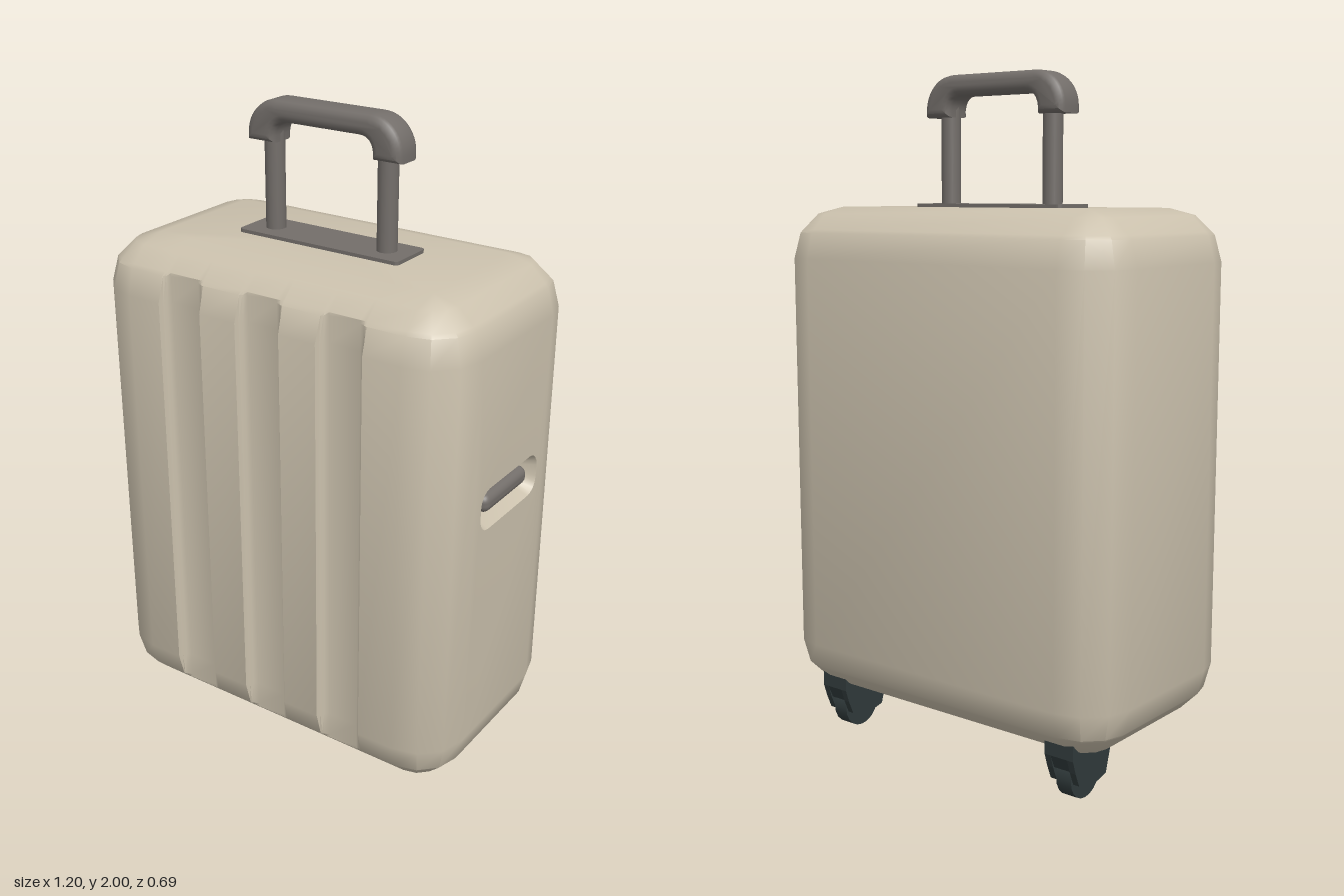
import * as THREE from 'three';
import { mergeGeometries, toCreasedNormals } from 'three/addons/utils/BufferGeometryUtils.js';
import { RoundedBoxGeometry } from 'three/addons/geometries/RoundedBoxGeometry.js';

const material = (name, color) => Object.assign(new THREE.MeshStandardMaterial({ color }), { name });

function addMesh(parent, name, geometry, mat, x = 0, y = 0, z = 0) {
  const mesh = new THREE.Mesh(geometry, mat);
  mesh.name = name;
  mesh.position.set(x, y, z);
  parent.add(mesh);
  return mesh;
}

// Triangle soup holding positions only, so that pieces can be merged
function soup(corners) {
  const g = new THREE.BufferGeometry();
  g.setAttribute('position', new THREE.Float32BufferAttribute(corners.flat(), 3));
  return g;
}
function positionsOnly(geometry) {
  const g = geometry.index ? geometry.toNonIndexed() : geometry;
  g.deleteAttribute('normal');
  g.deleteAttribute('uv');
  return g;
}

// Counter-clockwise rounded rectangle
function roundedOutline(hw, hh, r, cy, steps = 4) {
  const points = [];
  [[1, 1], [-1, 1], [-1, -1], [1, -1]].forEach(([sx, sy], k) => {
    for (let i = 0; i <= steps; i++) {
      const a = (k + i / steps) * Math.PI / 2;
      points.push(new THREE.Vector2(sx * (hw - r) + r * Math.cos(a), cy + sy * (hh - r) + r * Math.sin(a)));
    }
  });
  return points;
}

// Case dimensions: flat half extents plus an edge radius
const FX = 0.45, FZ = 0.195, R = 0.15, LOW = 0.29, HIGH = 1.47, FACE = 0.6;

function shellGeometry() {
  // Columns of the front: each groove is a set of [x, deepest z]
  const front = [];
  for (const cx of [-0.267, 0, 0.264]) {
    const half = [[-0.073, 1], [-0.069, 0.331], [-0.062, 0.321], [-0.048, 0.315]];
    half.forEach(([x, z]) => front.push([cx + x, z]));
    [...half].reverse().forEach(([x, z]) => front.push([cx - x, z]));
  }
  // One horizontal section; c is the share of the edge radius in use
  const section = (c, y) => {
    const ring = front.map(([x, z]) => [x, y, Math.min(FZ + R * c, z)]);
    [[1, 1, 90], [1, -1, 0], [-1, -1, -90], [-1, 1, 180]].forEach(([sx, sz, start]) => {
      for (let i = 0; i < 4; i++) {
        const a = (start - i * 30) * Math.PI / 180;
        ring.push([sx * FX + R * c * Math.cos(a), y, sz * FZ + R * c * Math.sin(a)]);
      }
    });
    return ring;
  };
  // Edge profile [inset, rise]; the third point is where the grooves run out
  const edge = [[1, 0], [0.866, 0.5], [0.8, 0.566], [0.5, 0.866], [0, 1]];
  const rings = [
    ...[...edge].reverse().map(([c, s]) => section(c, LOW - R * s)),
    ...edge.map(([c, s]) => section(c, HIGH + R * s)),
  ];
  const corners = [];
  const n = rings[0].length;
  for (let j = 0; j < rings.length - 1; j++) {
    for (let i = 0; i < n; i++) {
      if (j === 4 && i === front.length + 3) continue; // left open for the side panel
      const k = (i + 1) % n;
      const [a, b, c, d] = [rings[j][i], rings[j][k], rings[j + 1][k], rings[j + 1][i]];
      corners.push(a, b, c, a, c, d);
    }
  }
  // Bottom and top
  const last = rings[rings.length - 1];
  for (let i = 0; i < n; i++) {
    const k = (i + 1) % n;
    corners.push([0, LOW - R, 0], rings[0][k], rings[0][i]);
    corners.push([0, HIGH + R, 0], last[i], last[k]);
  }
  return soup(corners);
}

// Side panel with a sunken, sloping recess
function sidePanelGeometry() {
  const depth = 0.055;
  const outer = roundedOutline(0.16, 0.0625, 0.045, 1.013);
  const inner = roundedOutline(0.135, 0.042, 0.03, 1.017);
  const panel = new THREE.Shape([[-FZ, LOW], [FZ, LOW], [FZ, HIGH], [-FZ, HIGH]].map(p => new THREE.Vector2(...p)));
  panel.holes.push(new THREE.Path(outer));
  const walls = [];
  outer.forEach((p, i) => {
    const k = (i + 1) % outer.length;
    const a = [p.x, p.y, 0], b = [outer[k].x, outer[k].y, 0];
    const c = [inner[k].x, inner[k].y, -depth], d = [inner[i].x, inner[i].y, -depth];
    walls.push(a, b, c, a, c, d);
  });
  const floor = new THREE.ShapeGeometry(new THREE.Shape(inner)).translate(0, 0, -depth);
  return mergeGeometries([positionsOnly(new THREE.ShapeGeometry(panel)), soup(walls), positionsOnly(floor)])
    .rotateY(Math.PI / 2).translate(FACE, 0, 0);
}

// Arched grip with softly rounded edges
function gripGeometry() {
  const s = new THREE.Shape();
  s.moveTo(-0.25, 1.88);
  s.lineTo(-0.16, 1.88);
  s.lineTo(-0.16, 1.9);
  s.quadraticCurveTo(-0.155, 1.94, -0.12, 1.94);
  s.lineTo(0.12, 1.94);
  s.quadraticCurveTo(0.155, 1.94, 0.16, 1.9);
  s.lineTo(0.16, 1.88);
  s.lineTo(0.25, 1.88);
  s.lineTo(0.25, 1.9);
  s.absarc(0.15, 1.9, 0.1, 0, Math.PI / 2, false);
  s.lineTo(-0.15, 2);
  s.absarc(-0.15, 1.9, 0.1, Math.PI / 2, Math.PI, false);
  const b = 0.022;
  const g = new THREE.ExtrudeGeometry(s, {
    depth: 0.1 - 2 * b, bevelEnabled: true, bevelSize: b, bevelThickness: b,
    bevelOffset: -b, bevelSegments: 3, curveSegments: 6,
  }).translate(0, 0, -0.05 + b);
  return toCreasedNormals(g, 0.8);
}

// Extrudes a [z, y] side profile across x, centred on x = 0
function sideExtrude(points, width) {
  const shape = new THREE.Shape(points.map(([z, y]) => new THREE.Vector2(-z, y)));
  return new THREE.ExtrudeGeometry(shape, { depth: width, bevelEnabled: false })
    .translate(0, 0, -width / 2).rotateY(Math.PI / 2);
}

export function createModel() {
  const beige = material('beige shell', 0xcbc1ad);
  const grey = material('grey plastic', 0x736e6a);
  const dark = material('dark wheels', 0x303a3b);
  const model = new THREE.Group();
  model.name = 'suitcase';

  addMesh(model, 'shell', toCreasedNormals(mergeGeometries([shellGeometry(), sidePanelGeometry()]), 0.65), beige);
  addMesh(model, 'sideHandle', new RoundedBoxGeometry(0.05, 0.056, 0.24, 3, 0.024), grey, 0.57, 1.017, 0);

  // Telescopic handle
  const handle = new THREE.Group();
  handle.name = 'pullHandle';
  model.add(handle);
  const plate = new THREE.ExtrudeGeometry(new THREE.Shape(roundedOutline(0.265, 0.072, 0.012, 0)), { depth: 0.02, bevelEnabled: false });
  addMesh(handle, 'handlePlate', plate.rotateX(-Math.PI / 2), grey, 0, 1.61, 0);
  addMesh(handle, 'grip', gripGeometry(), grey);
  for (const side of [-1, 1]) {
    addMesh(handle, 'handleTube', new THREE.CylinderGeometry(0.029, 0.029, 0.31, 16), grey, side * 0.187, 1.765, 0);
  }

  // Wheels with their forks at the back
  const cheek = [[-0.1, 0.15], [-0.112, 0.11], [-0.128, 0.055], [-0.165, 0.046], [-0.22, 0.046],
    [-0.258, 0.06], [-0.275, 0.1], [-0.288, 0.14], [-0.288, 0.2], [-0.2, 0.2]];
  const bridge = [[-0.1, 0.15], [-0.115, 0.1], [-0.27, 0.1], [-0.288, 0.14], [-0.288, 0.2], [-0.2, 0.2]];
  for (const side of [-1, 1]) {
    const caster = new THREE.Group();
    caster.name = side > 0 ? 'leftWheel' : 'rightWheel';
    caster.position.x = side * 0.43;
    model.add(caster);
    for (const s of [-1, 1]) addMesh(caster, 'fork', sideExtrude(cheek, 0.02), dark, s * 0.038);
    addMesh(caster, 'forkBridge', sideExtrude(bridge, 0.07), dark);
    addMesh(caster, 'wheel', new THREE.CylinderGeometry(0.07, 0.07, 0.05, 20).rotateZ(Math.PI / 2), dark, 0, 0.07, -0.195);
  }
  return model;
}
